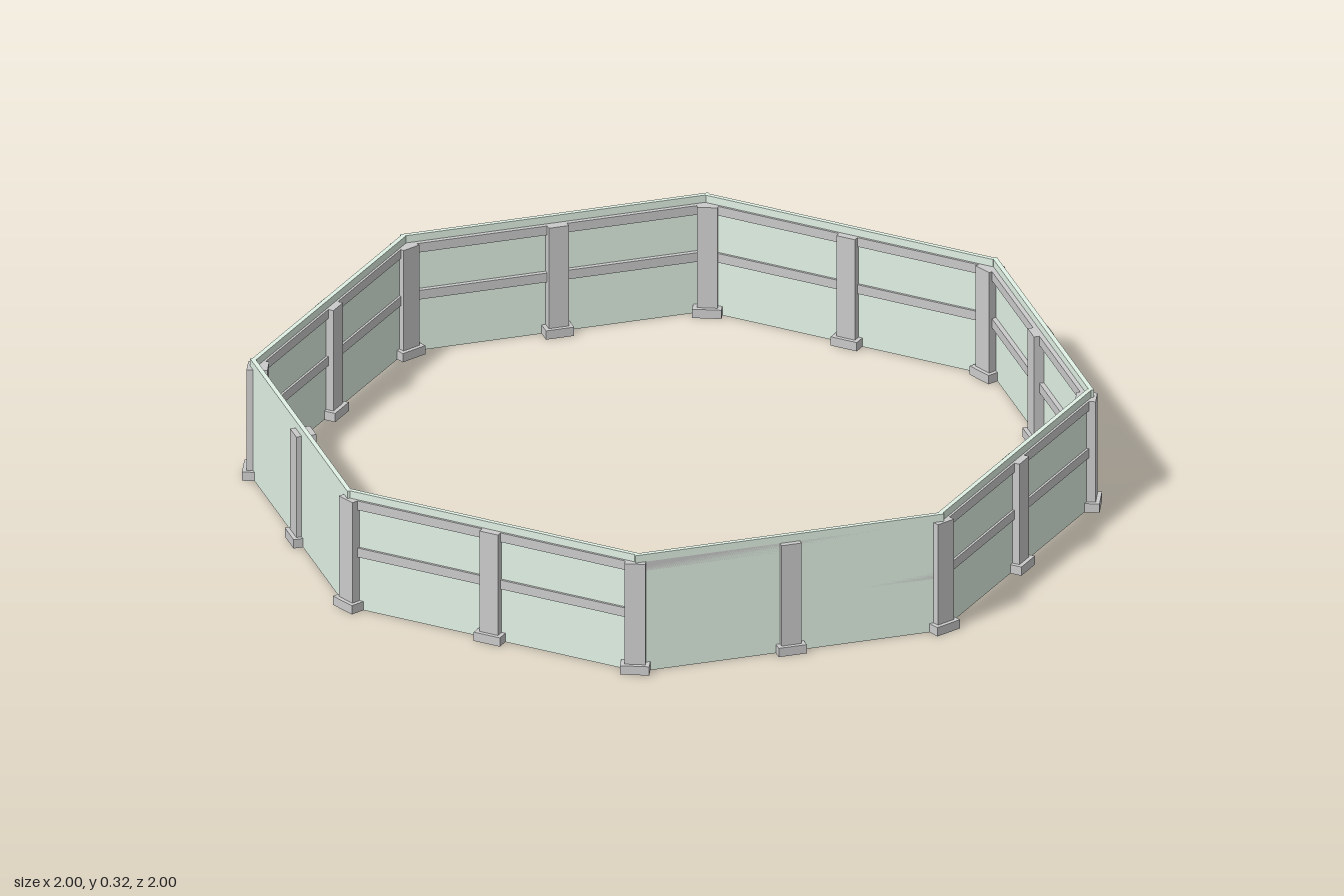
import * as THREE from 'three';

const SIDES = 8;
const APOTHEM = 0.96;                                   // centre to middle of a side
const SIDE = 2 * APOTHEM * Math.tan(Math.PI / SIDES);   // length of one side
const CORNER = 1.032;                                   // centre to corner post

const metal = new THREE.MeshStandardMaterial({ color: 0xcccccc });
const glass = new THREE.MeshStandardMaterial({ color: 0xe2f2e6 });

function box(name, w, h, d, y, z, material = metal) {
  const mesh = new THREE.Mesh(new THREE.BoxGeometry(w, h, d), material);
  mesh.name = name;
  mesh.position.set(0, y, z);
  return mesh;
}

// Square post standing on a wider foot plate
function post(name, radius) {
  const g = new THREE.Group();
  g.name = name;
  g.add(box('postShaft', 0.052, 0.3, 0.052, 0.15, radius));
  g.add(box('postFoot', 0.073, 0.024, 0.073, 0.012, radius));
  return g;
}

// One side: pane, two rails and a middle post
function fenceSide(diagonal) {
  const g = new THREE.Group();
  g.name = 'fenceSide';
  // Panes on the diagonal sides sit flush with the outer face of the rails
  const paneZ = APOTHEM + (diagonal ? 0.006 : 0);
  g.add(box('pane', SIDE + 0.008, 0.32, 0.012, 0.16, paneZ, glass));
  g.add(box('topRail', SIDE, 0.025, 0.024, 0.2875, APOTHEM));
  g.add(box('middleRail', SIDE, 0.025, 0.024, 0.158, APOTHEM));
  g.add(post('middlePost', APOTHEM));
  return g;
}

export function createModel() {
  const model = new THREE.Group();
  model.name = 'octagonalFence';
  for (let i = 0; i < SIDES; i++) {
    const angle = (i * 2 * Math.PI) / SIDES;
    const side = fenceSide(i % 2 === 1);
    side.rotation.y = angle;
    const corner = post('cornerPost', CORNER);
    corner.rotation.y = angle + Math.PI / SIDES;
    model.add(side, corner);
  }
  return model;
}
